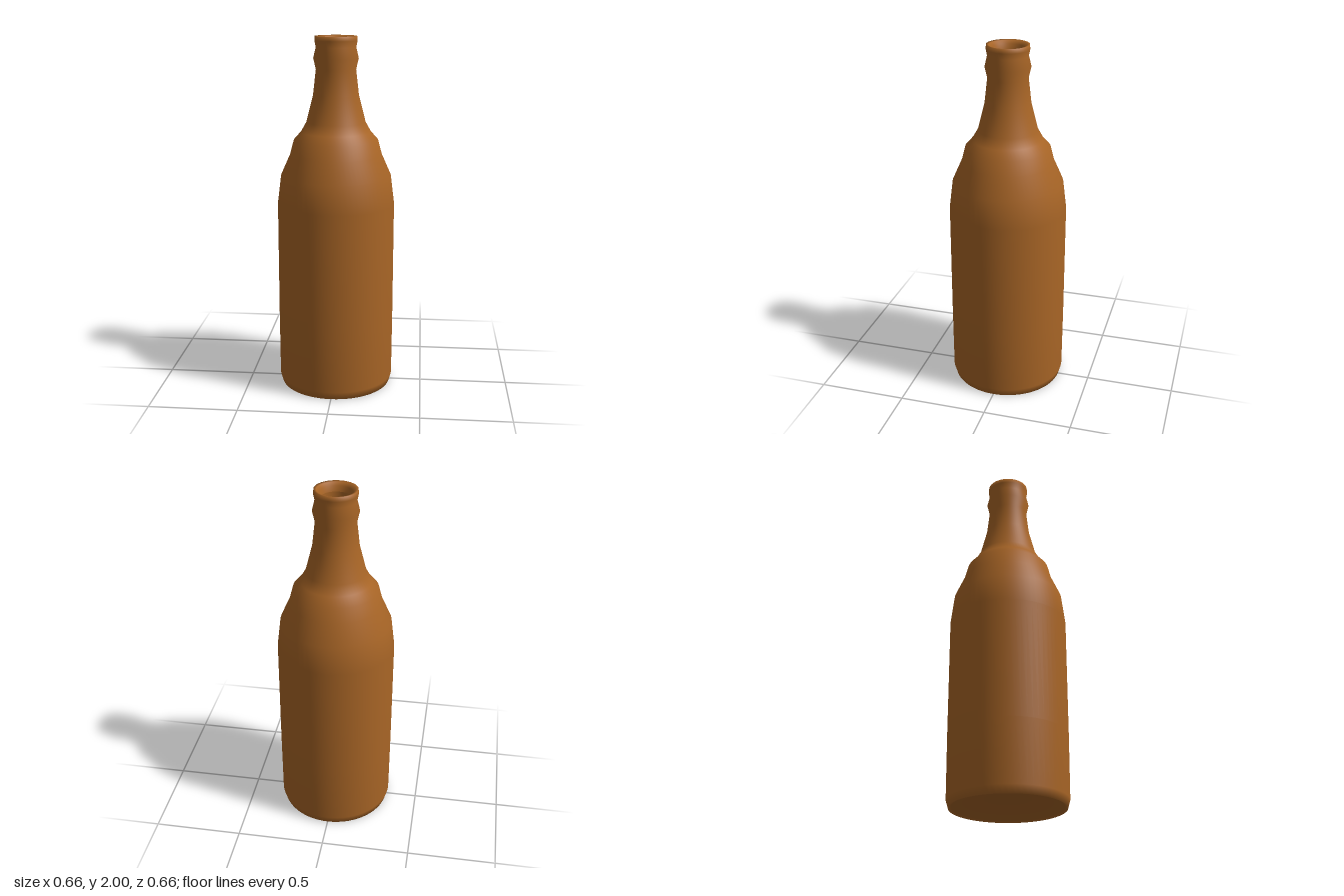
import * as THREE from 'three';

const SEGMENTS = 64;

// Turned surface from [radius, height] pairs; the outside lies to the right of the path
function turned(name, profile, material) {
  const points = profile.map(([r, y]) => new THREE.Vector2(r, y));
  const mesh = new THREE.Mesh(new THREE.LatheGeometry(points, SEGMENTS), material);
  mesh.name = name;
  return mesh;
}

export function createModel() {
  const group = new THREE.Group();
  group.name = 'bottle';
  const amberGlass = new THREE.MeshStandardMaterial({ color: 0xa86526 });

  // Outer wall: base, body, shoulder, neck with its ring, and the lip funnelling inwards
  group.add(turned('outerWall', [
    [0.300, 0.008], [0.315, 0], [0.328, 0.045], [0.33, 0.4], [0.33, 1.07],
    [0.31, 1.23], [0.257, 1.35], [0.236, 1.43], [0.196, 1.475], [0.165, 1.53],
    [0.127, 1.68], [0.111, 1.82], [0.125, 1.88], [0.111, 1.94], [0.118, 1.975],
    [0.116, 2.0], [0.102, 1.997], [0.09, 1.98], [0.083, 1.95],
  ], amberGlass));

  // Shallow hollow under the base
  group.add(turned('basePunt', [
    [0, 0.06], [0.12, 0.054], [0.22, 0.036], [0.300, 0.008],
  ], amberGlass));

  // Inside of the neck and body
  group.add(turned('innerWall', [
    [0.083, 1.95], [0.083, 1.82], [0.097, 1.68], [0.135, 1.53], [0.166, 1.475],
    [0.206, 1.42], [0.227, 1.34], [0.28, 1.22], [0.30, 1.07], [0.30, 0.06],
  ], amberGlass));

  // Floor inside the bottle
  group.add(turned('innerFloor', [
    [0.30, 0.06], [0.22, 0.075], [0.12, 0.088], [0, 0.092],
  ], amberGlass));

  return group;
}
